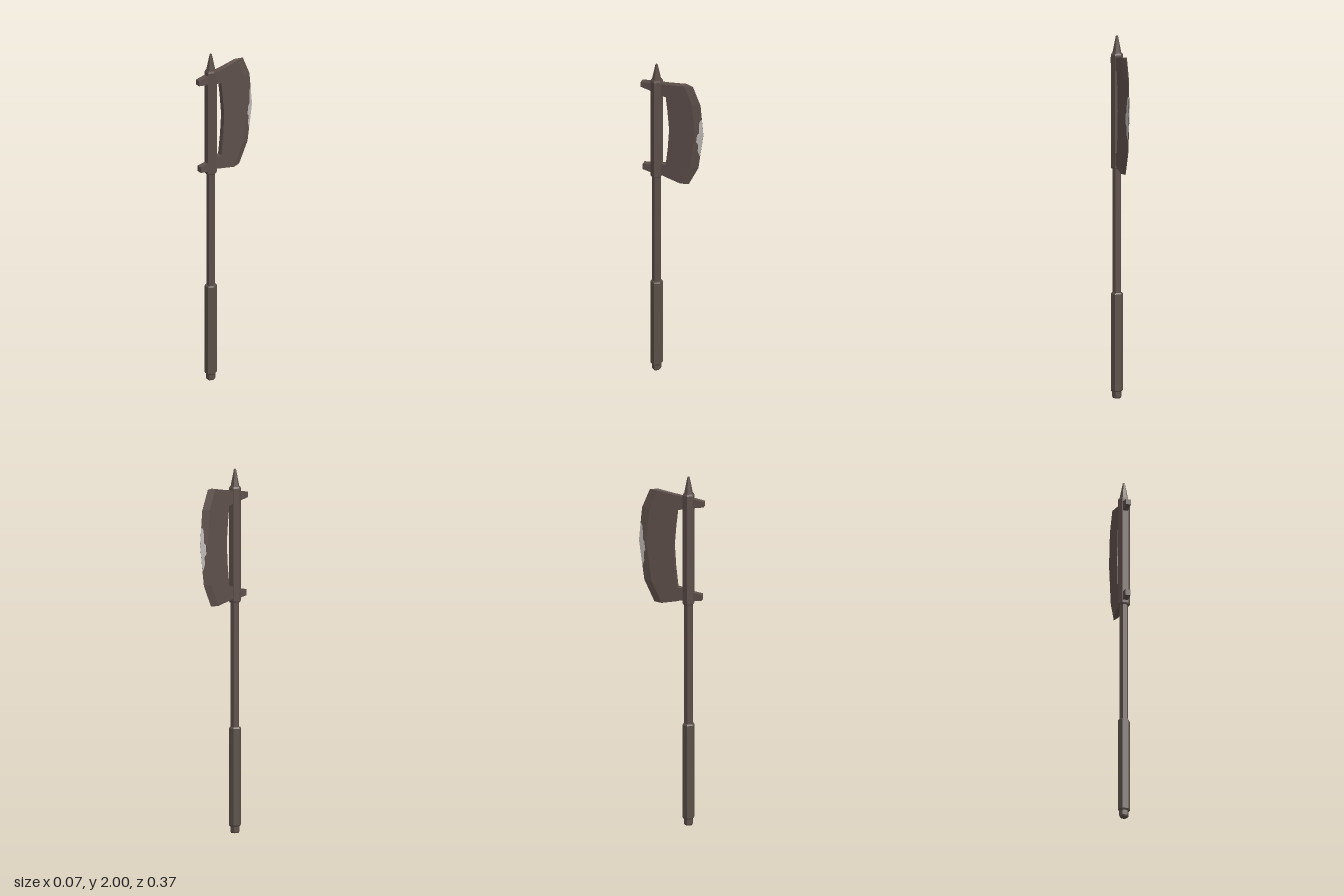
import * as THREE from 'three';

const SHAFT_Z = 0.097;

export function createModel() {
  const group = new THREE.Group();
  group.name = 'axe';
  const iron = new THREE.MeshStandardMaterial({ color: 0x5e504b });
  iron.name = 'dark iron';
  const grip = new THREE.MeshStandardMaterial({ color: 0x5b5149 });
  grip.name = 'grip wrap';
  const bare = new THREE.MeshStandardMaterial({ color: 0xc0bcb9, side: THREE.DoubleSide });
  bare.name = 'bare steel';

  const add = (name, geometry, material) => {
    const flat = geometry.index ? geometry.toNonIndexed() : geometry;
    flat.computeVertexNormals();
    const mesh = new THREE.Mesh(flat, material);
    mesh.name = name;
    group.add(mesh);
    return mesh;
  };

  // Triangles from a list of points
  const fromPoints = (points) => new THREE.BufferGeometry().setFromPoints(points);

  // Six-sided turned parts, with corners to the left and right
  const hex = (name, profile, material) => {
    const points = profile.map(([r, y]) => new THREE.Vector2(r, y));
    const geometry = new THREE.LatheGeometry(points, 6).rotateY(Math.PI / 6);
    add(name, geometry, material).position.z = SHAFT_Z;
  };
  hex('pommel', [[0, 0], [0.022, 0], [0.026, 0.008], [0.026, 0.045], [0, 0.045]], iron);
  hex('grip', [[0, 0.036], [0.029, 0.036], [0.034, 0.044], [0.034, 0.575], [0.029, 0.583], [0, 0.583]], grip);
  hex('shaft', [[0.024, 0.57], [0.024, 1.28]], iron);
  hex('headSleeve', [[0, 1.268], [0.03, 1.268], [0.034, 1.276], [0.034, 1.895], [0.029, 1.905], [0, 1.905]], iron);
  hex('topSpike', [[0.026, 1.9], [0.009, 1.985], [0.006, 2], [0, 2]], iron);

  // Blade: each row is [inner z, inner y, edge z, edge y], from top to bottom
  const rows = [
    [0.045, 1.888, -0.12, 1.91],
    [0.025, 1.71, -0.165, 1.8],
    [0.016, 1.6, -0.182, 1.61],
    [0.024, 1.476, -0.152, 1.386],
    [0.045, 1.285, -0.095, 1.265],
  ];
  const HALF = 0.0145, BEVEL = 0.045;
  const rings = rows.map(([zi, yi, ze, ye]) => [
    new THREE.Vector3(HALF, yi, zi),
    new THREE.Vector3(HALF, ye, ze + BEVEL),
    new THREE.Vector3(0, ye, ze),
    new THREE.Vector3(-HALF, ye, ze + BEVEL),
    new THREE.Vector3(-HALF, yi, zi),
  ]);
  const tris = [];
  for (let r = 0; r < rings.length - 1; r++) {
    for (let i = 0; i < 5; i++) {
      const j = (i + 1) % 5, p = rings[r], q = rings[r + 1];
      tris.push(p[i], q[i], p[j], q[i], q[j], p[j]);
    }
  }
  const top = rings[0], bottom = rings[rings.length - 1];
  for (let i = 1; i < 4; i++) {
    tris.push(top[0], top[i], top[i + 1], bottom[0], bottom[i + 1], bottom[i]);
  }
  add('blade', fromPoints(tris), iron);

  // Worn patch on both bevels: [y, width back from the edge]
  const edgeZ = (y) => {
    let r = 0;
    while (r < rows.length - 2 && y < rows[r + 1][3]) r++;
    const a = rows[r], b = rows[r + 1];
    return a[2] + (b[2] - a[2]) * (y - a[3]) / (b[3] - a[3]);
  };
  const wear = [
    [1.71, 0.004], [1.69, 0.015], [1.65, 0.02], [1.62, 0.023], [1.61, 0.033],
    [1.56, 0.032], [1.545, 0.02], [1.5, 0.017], [1.47, 0.004],
  ];
  for (const side of [1, -1]) {
    const strip = wear.map(([y, w]) => [0, w].map((d) =>
      new THREE.Vector3(side * (HALF * d / BEVEL + 0.0008), y, edgeZ(y) + d)));
    const points = [];
    for (let i = 0; i < strip.length - 1; i++) {
      const [a, b] = strip[i], [c, d] = strip[i + 1];
      if (side > 0) points.push(a, b, c, b, d, c);
      else points.push(a, c, b, b, c, d);
    }
    add(side > 0 ? 'leftWornEdge' : 'rightWornEdge', fromPoints(points), bare);
  }

  // Block running along z whose height changes from back to front
  const taperedBlock = (name, y, backZ, frontZ, backH, frontH) => {
    const geometry = new THREE.BoxGeometry(HALF * 2, 1, frontZ - backZ);
    const pos = geometry.attributes.position;
    for (let i = 0; i < pos.count; i++) {
      pos.setY(i, pos.getY(i) * (pos.getZ(i) > 0 ? frontH : backH));
    }
    geometry.translate(0, y, (frontZ + backZ) / 2);
    add(name, geometry, iron);
  };
  taperedBlock('upperTang', 1.849, 0.03, 0.08, 0.085, 0.068);
  taperedBlock('lowerTang', 1.324, 0.03, 0.08, 0.082, 0.062);
  taperedBlock('upperPeg', 1.851, 0.11, 0.186, 0.058, 0.03);
  taperedBlock('lowerPeg', 1.315, 0.11, 0.174, 0.054, 0.034);

  return group;
}
